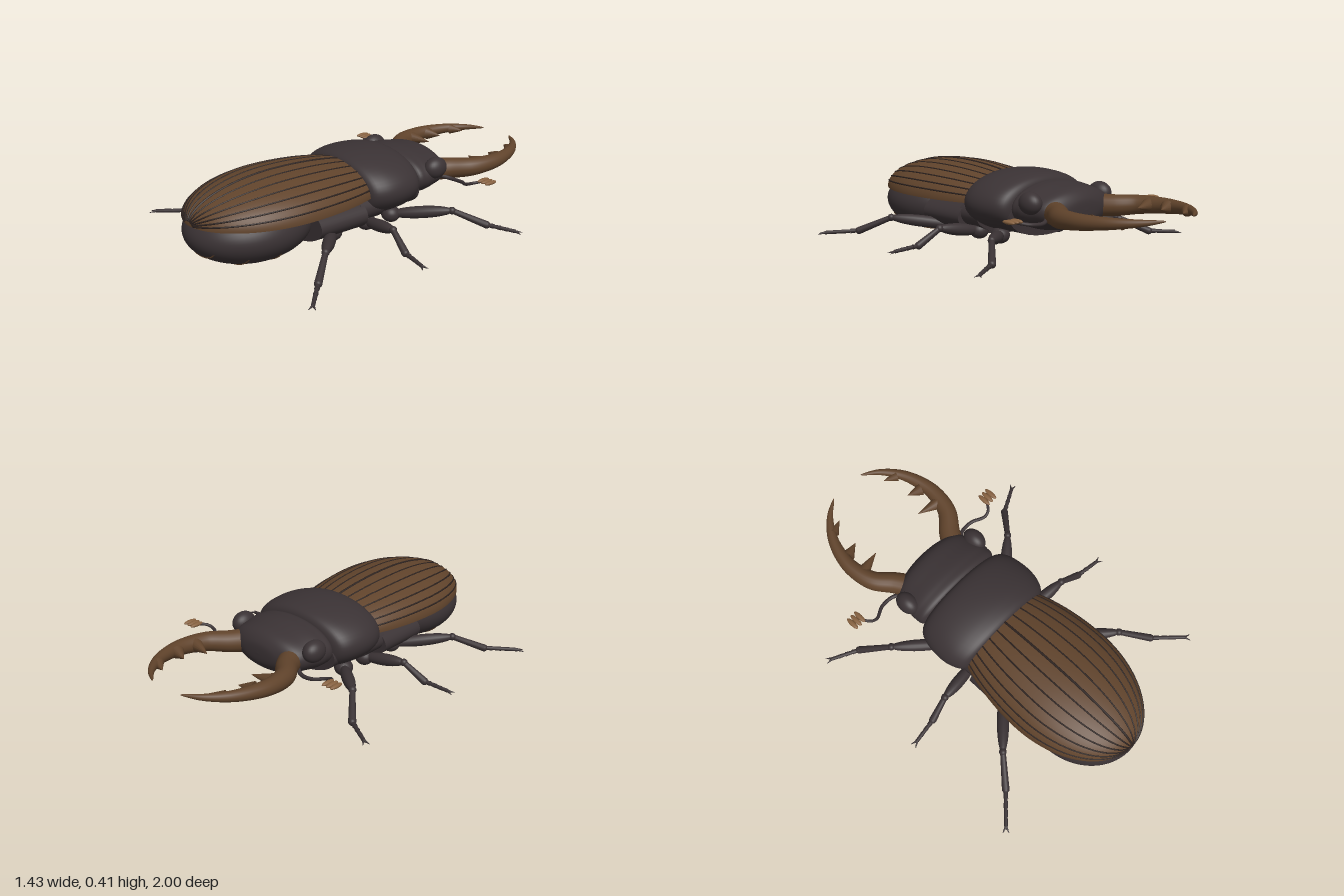
import * as THREE from 'three';
import { ParametricGeometry } from 'three/addons/geometries/ParametricGeometry.js';

const material = (name, color, side = THREE.FrontSide) => {
  const m = new THREE.MeshStandardMaterial({ color, side });
  m.name = name;
  return m;
};
const V = (x, y, z) => new THREE.Vector3(x, y, z);

export function createModel() {
  const root = new THREE.Group();
  root.name = 'stagBeetle';
  const shell = material('blackish shell', 0x3a3234);
  const brown = material('chestnut brown', 0x60432b, THREE.DoubleSide);
  const club = material('light antenna brown', 0x85603f);
  const groove = material('dark groove', 0x2b211e);

  const add = (name, geo, mat, parent = root) => {
    const mesh = new THREE.Mesh(geo, mat);
    mesh.name = name;
    parent.add(mesh);
    return mesh;
  };
  const group = (name) => {
    const g = new THREE.Group();
    g.name = name;
    root.add(g);
    return g;
  };
  const ellipsoid = (name, c, rx, ry, rz, mat, parent) => {
    const m = add(name, new THREE.SphereGeometry(1, 28, 20), mat, parent);
    m.position.copy(c);
    m.scale.set(rx, ry, rz);
    return m;
  };
  // Lathed body section along z, flattened in y; profile is [radius, z]
  const section = (name, profile, y, flat, smooth = true) => {
    let pts = profile.map(([r, z]) => new THREE.Vector2(r, z));
    if (smooth) pts = new THREE.SplineCurve(pts).getPoints(48);
    pts.forEach((p) => { p.x = Math.max(p.x, 0); });
    const geo = new THREE.LatheGeometry(pts, 56).rotateX(Math.PI / 2);
    geo.scale(1, flat, 1).translate(0, y, 0);
    return add(name, geo, shell);
  };
  const orient = (mesh, a, b) => {
    mesh.position.copy(a).lerp(b, 0.5);
    mesh.quaternion.setFromUnitVectors(V(0, 1, 0), b.clone().sub(a).normalize());
    return mesh;
  };
  // Tapered rod from a to b
  const rod = (name, a, b, r1, r2, mat, parent) =>
    orient(add(name, new THREE.CylinderGeometry(r2, r1, a.distanceTo(b), 14), mat, parent), a, b);
  // Tube whose radius follows a rule along its length
  const taperTube = (points, radius, n = 48, sides = 16) => {
    const curve = new THREE.CatmullRomCurve3(points);
    const geo = new THREE.TubeGeometry(curve, n, 1, sides, false);
    const p = geo.attributes.position;
    const v = V(0, 0, 0);
    for (let i = 0; i <= n; i++) {
      const c = curve.getPointAt(i / n);
      for (let j = 0; j <= sides; j++) {
        const k = i * (sides + 1) + j;
        v.fromBufferAttribute(p, k).sub(c).multiplyScalar(radius(i / n)).add(c);
        p.setXYZ(k, v.x, v.y, v.z);
      }
    }
    geo.computeBoundingSphere();
    return geo;
  };

  // Head, pronotum and the underside of the thorax
  section('head', [[0, -0.44], [0.12, -0.432], [0.215, -0.39], [0.25, -0.31], [0.265, -0.23],
    [0.23, -0.17], [0, -0.15]], 0.25, 0.455);
  section('pronotum', [[0, -0.18], [0.13, -0.178], [0.25, -0.17], [0.305, -0.125], [0.327, -0.02],
    [0.315, 0.08], [0.265, 0.145], [0.13, 0.158], [0, 0.16]], 0.25, 0.49);
  const drum = (name, r, z0, z1, y, flat) =>
    section(name, [[0, z0], [r, z0], [r, z0], [r, z1], [r, z1], [0, z1]], y, flat, false);
  drum('prosternum', 0.26, -0.175, 0.08, 0.2, 0.42);
  drum('mesothorax', 0.27, 0.06, 0.2, 0.18, 0.4);
  drum('metathorax', 0.29, 0.18, 0.46, 0.16, 0.38);

  // Abdomen: ellipsoid cut off flat under the wing cases
  const abdomen = new THREE.SphereGeometry(1, 56, 40);
  abdomen.rotateX(Math.PI / 2).scale(0.28, 0.165, 0.32).translate(0, 0.17, 0.68);
  const ap = abdomen.attributes.position;
  for (let i = 0; i < ap.count; i++) ap.setY(i, Math.min(ap.getY(i), 0.238));
  add('abdomen', abdomen, shell);

  // Fine brown segment lines under the abdomen
  [0.66, 0.82, 0.95].forEach((z) => {
    const s = Math.sqrt(1 - ((z - 0.68) / 0.32) ** 2);
    const pts = [];
    for (let i = -10; i <= 10; i++) {
      const a = i * 0.105;
      pts.push(V(0.281 * s * Math.sin(a), 0.17 - 0.166 * s * Math.cos(a), z));
    }
    add('abdomenLine', taperTube(pts, () => 0.003, 40, 6), brown);
  });

  // Wing cases: half dome, longer taper toward the front
  const dome = (z, a, lift = 0) => {
    const d = z > 0.52 ? (z - 0.52) / 0.478 : (0.52 - z) / 0.65;
    const s = Math.sqrt(Math.max(0, 1 - d * d));
    return V((0.325 * s + lift) * Math.cos(a), 0.24 + (0.168 * s + lift) * Math.sin(a), z);
  };
  const rearEase = (v) => 0.1 + 0.898 * Math.sin(v * Math.PI / 2);
  [['leftWingCase', 0], ['rightWingCase', Math.PI / 2]].forEach(([name, a0]) => {
    add(name, new ParametricGeometry((u, v, t) => {
      t.copy(dome(rearEase(v), a0 + (1 - u) * Math.PI / 2));
    }, 28, 48), brown);
  });
  add('wingCaseUnderside', new ParametricGeometry((u, v, t) => {
    const p = dome(rearEase(v), 0);
    t.set(p.x * (2 * u - 1), 0.24, p.z);
  }, 2, 48), brown);

  // Lengthwise grooves and the seam between the wing cases
  const stripe = (name, a, r, lift) => {
    const pts = [];
    for (let i = 0; i <= 24; i++) pts.push(dome(0.12 + 0.875 * Math.sin(i / 24 * Math.PI / 2), a, lift));
    add(name, taperTube(pts, () => r, 64, 8), groove);
  };
  stripe('wingCaseSeam', Math.PI / 2, 0.006, 0);
  for (const s of [-1, 1]) {
    for (let i = 1; i <= 6; i++) stripe('wingCaseGroove', Math.PI / 2 + s * i * 0.215, 0.0042, -0.0005);
  }

  for (const s of [1, -1]) {
    const side = s > 0 ? 'left' : 'right';
    const P = (x, y, z) => V(s * x, y, z);

    // Eye
    ellipsoid(side + 'Eye', P(0.243, 0.293, -0.3), 0.048, 0.055, 0.066, shell);

    // Mandible with three inner teeth
    const jaw = group(side + 'Mandible');
    add('mandibleBlade', taperTube([P(0.15, 0.245, -0.36), P(0.2, 0.248, -0.44), P(0.272, 0.255, -0.53),
      P(0.299, 0.262, -0.65), P(0.288, 0.268, -0.75), P(0.25, 0.274, -0.85), P(0.18, 0.28, -0.94),
      P(0.098, 0.285, -0.998)], (t) => 0.058 * (1 - t) ** 0.72 + 0.002, 64, 20), brown, jaw);
    [[0.275, -0.595, 0.155, -0.625, 0.036, 0.262], [0.265, -0.715, 0.19, -0.74, 0.034, 0.266],
      [0.23, -0.86, 0.162, -0.89, 0.028, 0.272]].forEach(([x0, z0, x1, z1, r, y]) => {
      rod('mandibleTooth', P(x0, y, z0), P(x1, y, z1), r, 0.001, brown, jaw);
    });

    // Antenna: curved stalk with a three-leaf club
    const antenna = group(side + 'Antenna');
    add('antennaStalk', taperTube([P(0.2, 0.225, -0.37), P(0.26, 0.213, -0.405), P(0.33, 0.216, -0.405),
      P(0.395, 0.23, -0.372), P(0.43, 0.243, -0.38), P(0.46, 0.253, -0.42)], (t) => 0.011 - 0.004 * t, 32, 10),
    shell, antenna);
    for (let i = 0; i < 3; i++) {
      ellipsoid('antennaLeaf', P(0.455 + i * 0.025, 0.255, -0.433), 0.013, 0.01, 0.039, club, antenna);
    }

    // Legs: z of hip, knee, ankle and toe
    [['Front', -0.04, -0.24, -0.37, -0.44], ['Middle', 0.12, 0.147, 0.17, 0.187],
      ['Hind', 0.33, 0.55, 0.68, 0.805]].forEach(([label, zh, zk, za, zt]) => {
      const leg = group(side + label + 'Leg');
      const hip = P(0.2, 0.095, zh);
      const knee = P(0.435, 0.133, zk);
      const ankle = P(0.55, 0.06, za);
      const toe = P(0.68, 0.048, zt);
      ellipsoid('hipJoint', hip, 0.048, 0.042, 0.048, shell, leg);
      // Swollen thigh
      const femur = add('thigh', new THREE.SphereGeometry(1, 18, 14), shell, leg);
      orient(femur, hip, knee).scale.set(0.031, hip.distanceTo(knee) * 0.53, 0.031);
      ellipsoid('kneeJoint', knee, 0.019, 0.019, 0.019, shell, leg);
      rod('shin', knee, ankle, 0.014, 0.019, shell, leg);
      ellipsoid('ankleJoint', ankle, 0.019, 0.019, 0.019, shell, leg);
      // Four-part foot with two claws
      for (let i = 0; i < 4; i++) {
        rod('footSegment', ankle.clone().lerp(toe, i / 4), ankle.clone().lerp(toe, (i + 1) / 4),
          0.009, 0.0125 - i * 0.001, shell, leg);
      }
      const dir = toe.clone().sub(ankle).setY(0).normalize();
      const across = V(-dir.z, 0, dir.x);
      for (const k of [-1, 1]) {
        const tip = toe.clone().addScaledVector(dir, 0.032).addScaledVector(across, k * 0.016);
        tip.y = 0.042;
        rod('claw', toe, tip, 0.007, 0.001, shell, leg);
      }
    });
  }
  return root;
}
